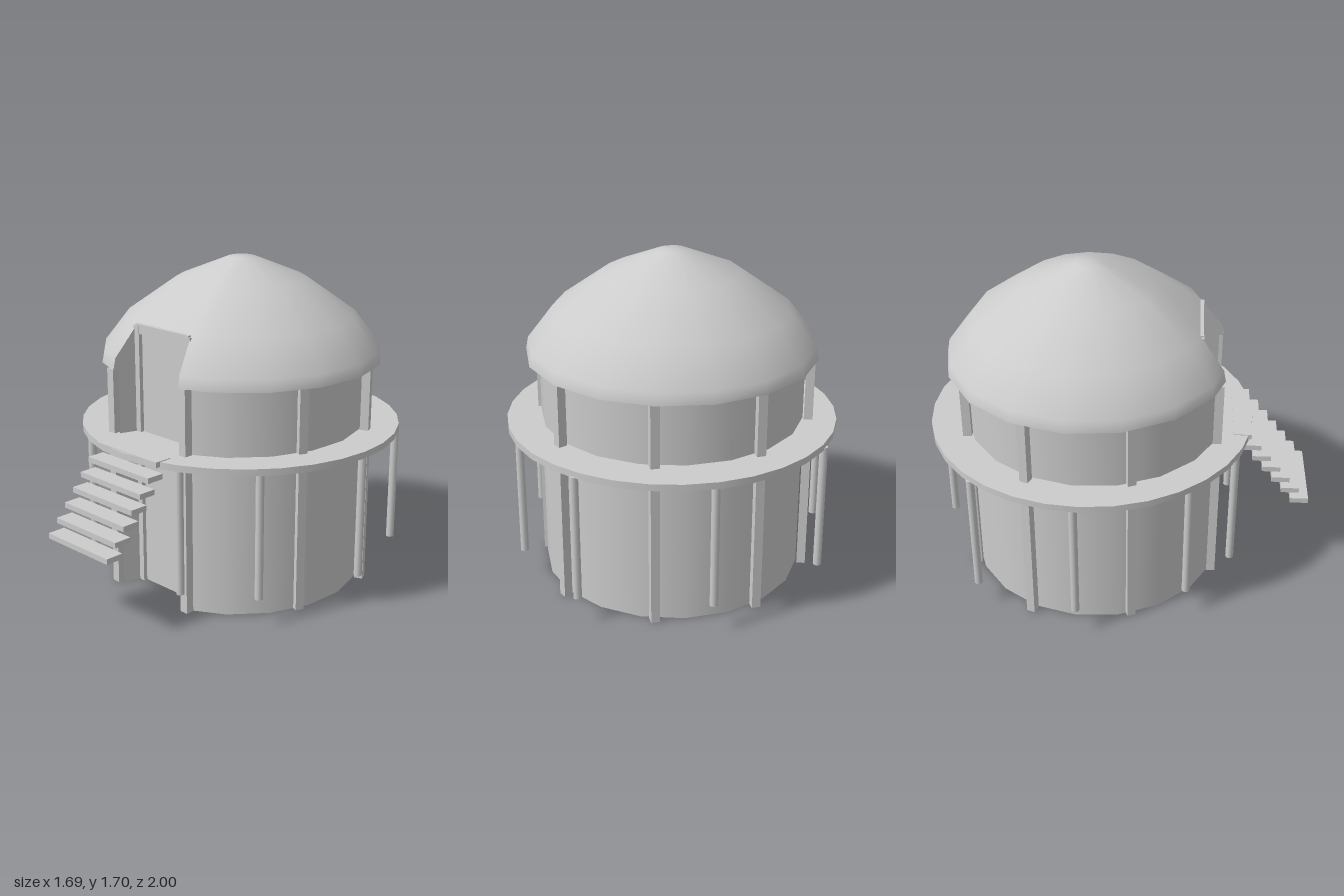
import * as THREE from 'three';

const material = new THREE.MeshStandardMaterial({ color: 0xcccccc, side: THREE.DoubleSide });
const CZ = -0.16;           // z of the hut's axis
const SIDES = 17;           // sides of the dome
const NOTCH = 0.33;         // half angle of the entrance notch
const STEP = (2 * Math.PI) / SIDES;
const APOTHEM = Math.cos(STEP / 2);

export function createModel() {
  const hut = new THREE.Group();
  hut.name = 'roundHut';

  function add(name, geometry, x = 0, y = 0, z = 0) {
    const mesh = new THREE.Mesh(geometry, material);
    mesh.name = name;
    mesh.position.set(x, y, z);
    hut.add(mesh);
    return mesh;
  }
  const box = (name, w, h, d, x, y, z) => add(name, new THREE.BoxGeometry(w, h, d), x, y, z);

  // Outline directions of the dome, from one notch edge round the back to the other
  const onChord = APOTHEM / Math.cos(STEP - NOTCH);
  const outline = [[NOTCH, onChord]];
  for (let i = 1; i < SIDES - 1; i++) outline.push([(i + 0.5) * STEP, 1]);
  outline.push([2 * Math.PI - NOTCH, onChord]);

  // Dome: rings of [radius, height]; only the upper bands close across the notch
  const rings = [[0.74, 1.18], [0.728, 1.24], [0.597, 1.41], [0.342, 1.59], [0.072, 1.7]];
  const n = outline.length;
  const positions = [];
  const faces = [];
  for (const [r, y] of rings) {
    for (const [a, k] of outline) positions.push(Math.sin(a) * r * k, y, Math.cos(a) * r * k);
  }
  for (let j = 0; j < rings.length - 1; j++) {
    const count = j < 2 ? n - 1 : n;
    for (let i = 0; i < count; i++) {
      const a = j * n + i, b = j * n + ((i + 1) % n);
      faces.push(a, b, b + n, a, b + n, a + n);
    }
  }
  positions.push(0, 1.7, 0);
  const top = (rings.length - 1) * n;
  for (let i = 0; i < n; i++) faces.push(top + i, top + ((i + 1) % n), top + n);
  const dome = new THREE.BufferGeometry();
  dome.setAttribute('position', new THREE.Float32BufferAttribute(positions, 3));
  dome.setIndex(faces);
  dome.computeVertexNormals();
  add('domeRoof', dome, 0, 0, CZ);

  // Soffit closing the overhang between the wall and the rim of the dome
  const rim = outline.map(([a, k]) => new THREE.Vector2(Math.sin(a) * 0.74 * k, Math.cos(a) * 0.74 * k));
  const inner = outline.map(([a, k]) => new THREE.Vector2(Math.sin(a) * 0.64 * k, Math.cos(a) * 0.64 * k));
  const soffit = new THREE.ShapeGeometry(new THREE.Shape([...rim, ...inner.reverse()]));
  soffit.rotateX(Math.PI / 2);
  add('roofSoffit', soffit, 0, 1.18, CZ);

  // Round wall, open at the entrance and at the bottom
  const gap = 0.365;
  add('roundWall', new THREE.CylinderGeometry(0.675, 0.675, 1.19, SIDES, 1, true, gap, 2 * Math.PI - 2 * gap),
    -0.008, 0.595, -0.133);

  // Entrance alcove: slanted cheeks, flat back, door frame
  for (const s of [-1, 1]) {
    const cheek = new THREE.ShapeGeometry(new THREE.Shape([
      [0.585, 0], [0.7, 0], [0.7, 1.18], [0.727, 1.18], [0.715, 1.24], [0.586, 1.41],
    ].map(([r, y]) => new THREE.Vector2(r, y))));
    cheek.rotateY(s * NOTCH - Math.PI / 2);
    add('alcoveCheek', cheek, 0, 0, CZ);
    box('doorPost', 0.04, 1.4, 0.04, s * 0.183 - 0.002, 0.7, 0.395);
  }
  add('alcoveBack', new THREE.PlaneGeometry(0.38, 1.41), 0, 0.705, 0.393);
  box('doorLintel', 0.38, 0.05, 0.04, 0, 1.384, 0.393);

  // Upright posts set into the wall
  for (const [x, z] of [[0.26, 0.5], [0.638, 0.08], [0.638, -0.43], [0.26, -0.775]]) {
    for (const s of [-1, 1]) {
      const post = box('wallPost', 0.045, 1.18, 0.045, s * x - 0.008, 0.59, z);
      if (x > 0.5) post.rotation.y = s * Math.sign(z - CZ) * -0.39;
    }
  }

  // Round platform
  add('platform', new THREE.CylinderGeometry(0.845, 0.845, 0.035, 32), 0, 0.823, -0.155);

  // Slender legs under the platform
  const legs = [[-0.34, 0.595], [0.305, 0.595], [0, -0.94]];
  for (const s of [-1, 1]) legs.push([s * 0.62, 0.365], [s * 0.8, -0.19], [s * 0.62, -0.71]);
  for (const [x, z] of legs) {
    add('platformLeg', new THREE.CylinderGeometry(0.021, 0.021, 0.66, 12), x, 0.48, z);
  }

  // Floating stair treads
  for (let i = 0; i < 7; i++) {
    box('stairTread', 0.44, 0.028, 0.095, 0.015, 0.433 + i * 0.0662, 0.9525 - i * 0.0535);
  }
  return hut;
}
